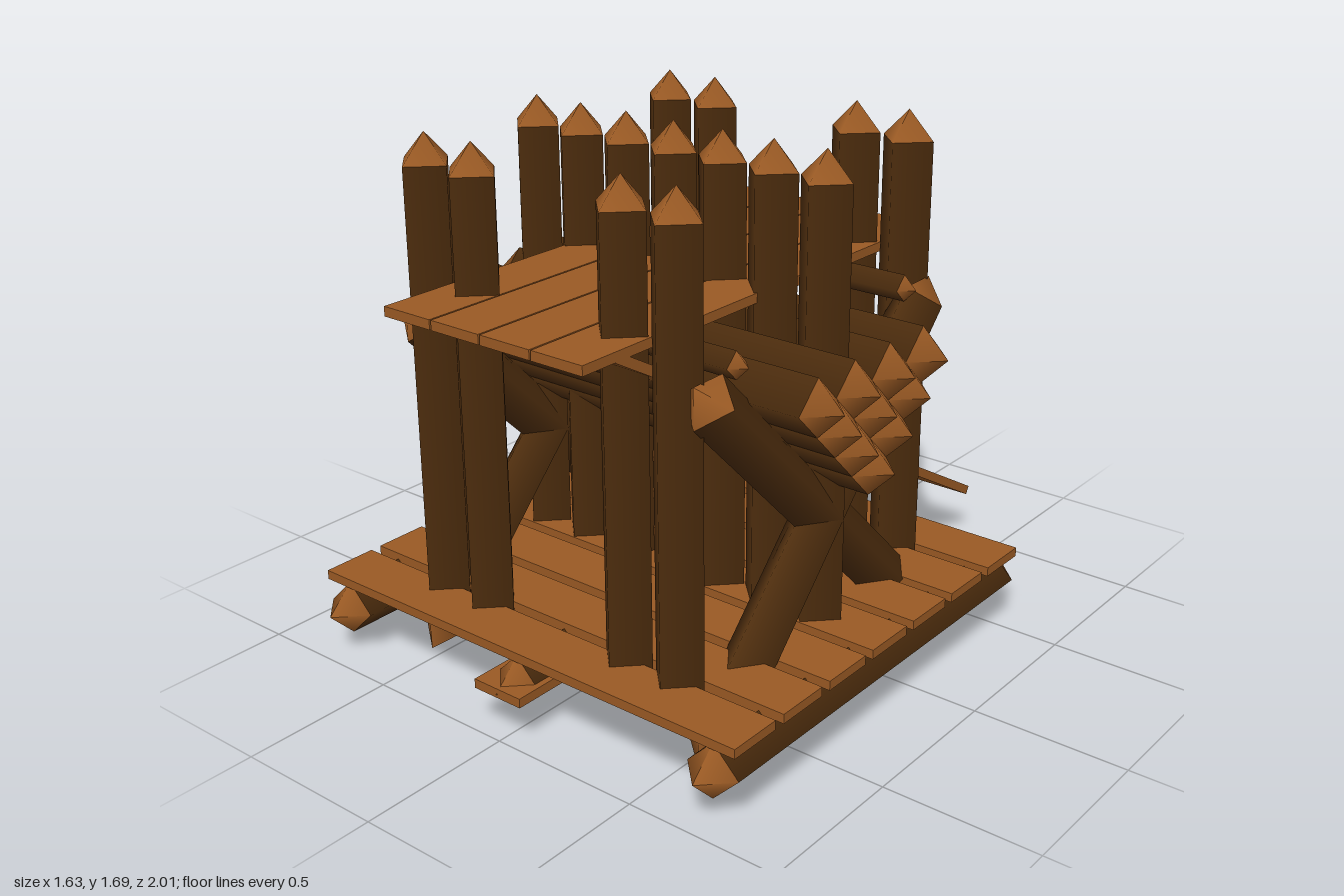
import * as THREE from 'three';

const bark = new THREE.MeshStandardMaterial({ name: 'dark bark', color: 0x4f2e0e });
const wood = new THREE.MeshStandardMaterial({ name: 'cut wood', color: 0x9a5a24 });
const R = 0.088;   // log radius
const MID = 0.19;  // middle of the fort along z

// Four-sided log along local y with a pointed cap on both ends
function log(name, length, r = R) {
  const g = new THREE.Group();
  g.name = name;
  const body = new THREE.Mesh(new THREE.CylinderGeometry(r, r, length, 4, 1, true), bark);
  body.name = name + 'Body';
  g.add(body);
  for (const s of [1, -1]) {
    const tip = new THREE.Mesh(new THREE.ConeGeometry(r, r, 4), wood);
    tip.name = name + 'Tip';
    tip.position.y = s * (length + r) / 2;
    if (s < 0) tip.rotation.x = Math.PI;
    g.add(tip);
  }
  return g;
}

function plank(name, w, h, d) {
  const m = new THREE.Mesh(new THREE.BoxGeometry(w, h, d), wood);
  m.name = name;
  return m;
}

export function createModel() {
  const model = new THREE.Group();
  model.name = 'logFort';
  const put = (o, x, y, z) => { o.position.set(x, y, z); model.add(o); return o; };

  // Base: three runner logs, a plank on the middle one, and the floor
  for (const x of [-0.725, 0, 0.725]) {
    put(log('baseLog', 1.45), x, 0.157, MID).rotation.x = Math.PI / 2;
  }
  put(plank('keelPlank', 0.18, 0.03, 1.62), 0, 0.16, MID);
  for (let i = 0; i < 7; i++) {
    put(plank('floorPlank', 1.62, 0.03, 0.18), 0, 0.25, 0.84 - i * 0.2175);
  }

  // Upright posts: a full middle row and pairs at each corner
  for (let i = -3; i <= 3; i++) put(log('wallPost', 1.443), i * 0.182, 0.88, MID - 0.005);
  for (const z of [0.733, -0.357]) {
    for (const x of [-0.463, -0.275, 0.275, 0.463]) {
      put(log('cornerPost', 1.443), x, 0.88, z);
    }
  }

  // Inverted triangular stack of cross logs
  for (let row = 0; row < 4; row++) {
    for (let i = 0; i < 4 - row; i++) {
      const z = MID + 0.007 + (i - (3 - row) / 2) * 0.174;
      put(log('stackLog', 1.444), 0, 1.057 - row * 0.088, z).rotation.z = Math.PI / 2;
    }
  }

  // Crossed braces on both sides, given by their apex points (z, y)
  const braces = [[0.77, 1.17, -0.39, 0.03], [-0.373, 1.18, 0.753, 0.0]];
  for (const x of [-0.545, 0.545]) {
    for (const [z1, y1, z2, y2] of braces) {
      const brace = log('crossBrace', Math.hypot(z1 - z2, y1 - y2) - 2 * R);
      put(brace, x, (y1 + y2) / 2, (z1 + z2) / 2).rotation.x = Math.atan2(z1 - z2, y1 - y2);
    }
  }

  // Thin poles under the upper deck
  for (const z of [0.6, -0.22]) {
    put(log('deckPole', 1.11, 0.042), 0, 1.183, z).rotation.z = Math.PI / 2;
  }

  // Upper deck and the long ramp below it
  for (let i = 0; i < 4; i++) {
    const x = (i - 1.5) * 0.187;
    put(plank('deckPlank', 0.181, 0.03, 1.625), x, 1.243, MID - 0.002);
    put(plank('rampPlank', 0.181, 0.03, 2.14), x, 0.71, -0.065).rotation.x = -0.517;
  }
  return model;
}
